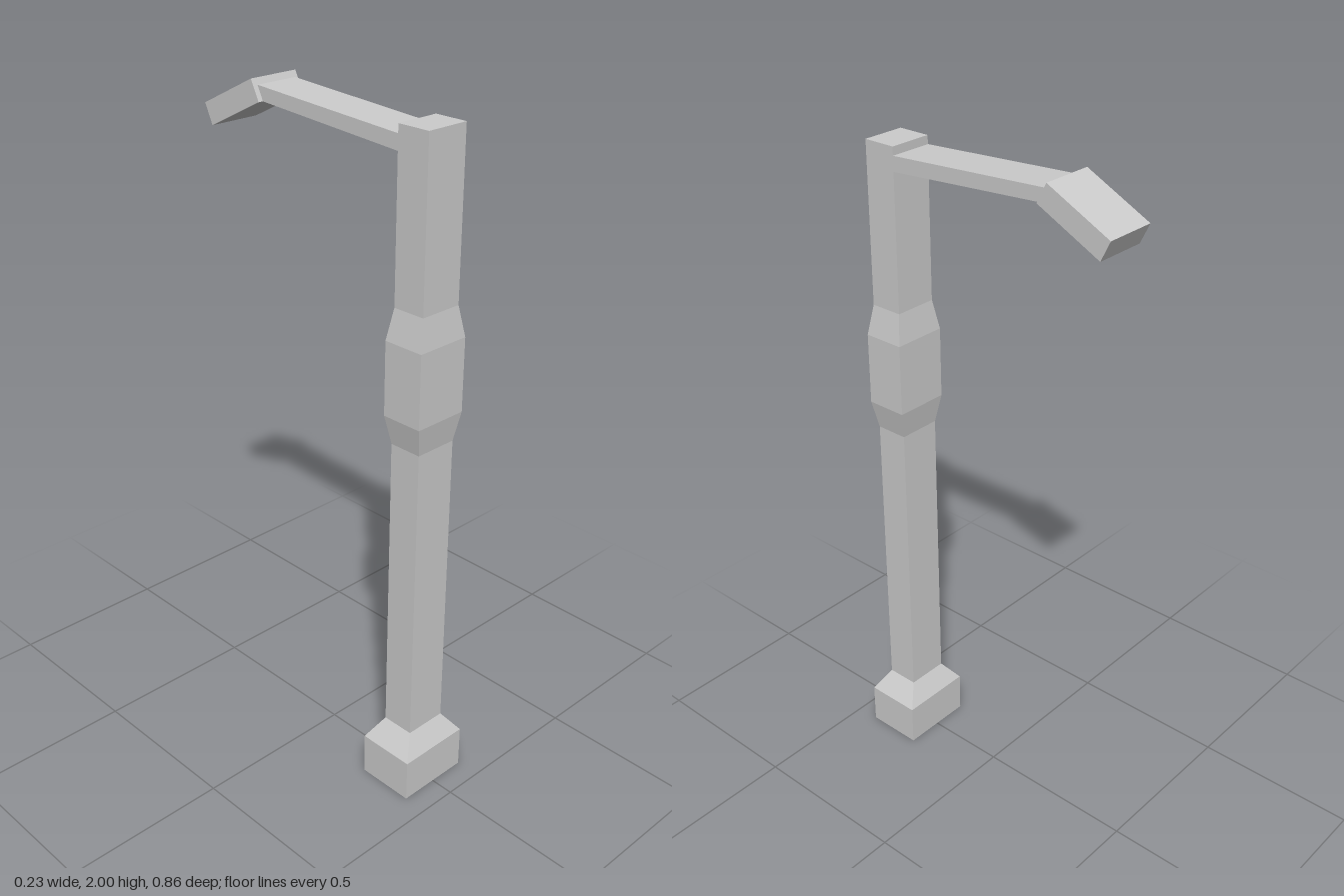
import * as THREE from 'three';

const material = new THREE.MeshStandardMaterial({ color: 0xcccccc, flatShading: true });

function addMesh(parent, name, geometry) {
  const mesh = new THREE.Mesh(geometry, material);
  mesh.name = name;
  parent.add(mesh);
  return mesh;
}

// Rectangular column following rings of [y, half width, half depth]
function column(rings) {
  const n = rings.length - 1;
  const geometry = new THREE.BoxGeometry(2, n, 2, 1, n, 1);
  const pos = geometry.attributes.position;
  for (let i = 0; i < pos.count; i++) {
    const [y, w, d] = rings[Math.round(pos.getY(i) + n / 2)];
    pos.setXYZ(i, pos.getX(i) * w, y, pos.getZ(i) * d);
  }
  geometry.computeVertexNormals();
  return geometry;
}

// Side outline of [z, y] points, extruded across x from x0 to x1
function sideProfile(points, x0, x1) {
  const shape = new THREE.Shape(points.map(([z, y]) => new THREE.Vector2(-z, y)));
  const geometry = new THREE.ExtrudeGeometry(shape, { depth: x1 - x0, bevelEnabled: false });
  return geometry.rotateY(Math.PI / 2).translate(x0, 0, 0);
}

export function createModel() {
  const lamp = new THREE.Group();
  lamp.name = 'streetLamp';

  // Upright: stepped foot and shaft with a thicker collar
  const upright = new THREE.Group();
  upright.name = 'upright';
  upright.position.z = 0.34;
  lamp.add(upright);

  addMesh(upright, 'base', column([
    [0, 0.115, 0.088], [0.13, 0.115, 0.088], [0.195, 0.066, 0.05],
  ]));
  addMesh(upright, 'poleWithCollar', column([
    [0.195, 0.066, 0.05], [1.115, 0.066, 0.05], [1.2, 0.083, 0.063],
    [1.415, 0.083, 0.063], [1.505, 0.066, 0.05], [1.977, 0.066, 0.05],
  ]));

  // Arm rising slightly towards the back
  addMesh(lamp, 'arm', sideProfile([
    [0.3, 1.909], [-0.203, 1.943], [-0.223, 1.983], [0.3, 1.952],
  ], -0.066, 0.066));

  // Lamp head tilted downwards
  addMesh(lamp, 'lampHead', sideProfile([
    [-0.203, 1.943], [-0.4, 1.846], [-0.428, 1.904], [-0.232, 2],
  ], -0.081, 0.076));

  return lamp;
}
